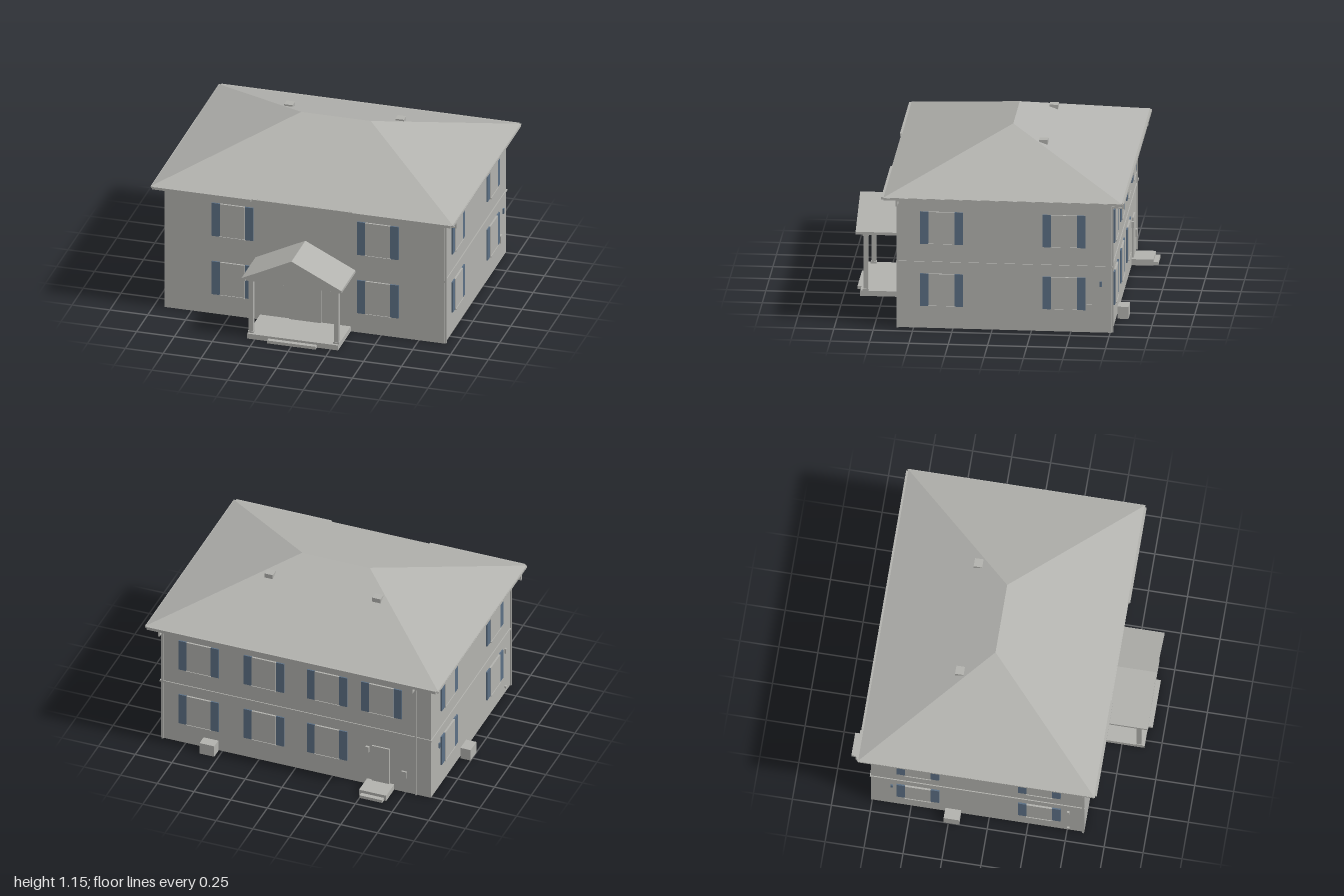
import * as THREE from 'three';

export function createModel() {
  const house = new THREE.Group();
  house.name = 'house';
  const grey = new THREE.MeshStandardMaterial({ color: 0xb2b2ae });
  grey.name = 'plain grey';
  grey.side = THREE.DoubleSide;
  const blue = new THREE.MeshStandardMaterial({ color: 0x5c7085 });
  blue.name = 'shutter blue';

  const add = (parent, name, geo, mat = grey) => {
    const m = new THREE.Mesh(geo, mat);
    m.name = name;
    parent.add(m);
    return m;
  };
  // box given by its limits on each axis
  const box = (parent, name, x0, x1, y0, y1, z0, z1, mat = grey) => {
    const m = add(parent, name, new THREE.BoxGeometry(x1 - x0, y1 - y0, z1 - z0), mat);
    m.position.set((x0 + x1) / 2, (y0 + y1) / 2, (z0 + z1) / 2);
    return m;
  };

  const W = 0.92, F = 0.61, B = -0.76, TOP = 0.87;

  // hollow walls, open below
  const rect = (p, x0, x1, z0, z1) => {
    p.moveTo(x0, -z0); p.lineTo(x1, -z0); p.lineTo(x1, -z1); p.lineTo(x0, -z1); p.closePath();
    return p;
  };
  const ring = rect(new THREE.Shape(), -W, W, B, F);
  ring.holes.push(rect(new THREE.Path(), -W + 0.012, W - 0.012, B + 0.012, F - 0.012));
  const wallGeo = new THREE.ExtrudeGeometry(ring, { depth: TOP, bevelEnabled: false });
  add(house, 'walls', wallGeo.rotateX(-Math.PI / 2));

  // hip roof with eave board
  box(house, 'eaveBoard', -0.995, 0.995, 0.868, 0.882, -0.832, 0.685);
  const c = [[-1, 0.88, 0.69], [1, 0.88, 0.69], [1, 0.88, -0.835], [-1, 0.88, -0.835],
    [-0.23, 1.153, -0.072], [0.23, 1.153, -0.072]];
  const faces = [0, 1, 5, 0, 5, 4, 1, 2, 5, 2, 3, 4, 2, 4, 5, 3, 0, 4];
  const roofGeo = new THREE.BufferGeometry();
  roofGeo.setAttribute('position', new THREE.Float32BufferAttribute(faces.flatMap(i => c[i]), 3));
  roofGeo.computeVertexNormals();
  add(house, 'hipRoof', roofGeo);

  // gutters and roof vents
  box(house, 'backGutter', -0.985, 0.985, 0.862, 0.882, -0.843, -0.83);
  for (const s of [-1, 1]) {
    const x = s * 0.66;
    box(house, 'frontGutter', x - 0.325, x + 0.325, 0.865, 0.882, 0.685, 0.7);
    box(house, 'sideGutter', s * 0.993 - 0.006, s * 0.993 + 0.006, 0.865, 0.882, -0.83, 0.685);
    box(house, 'roofVent', s * 0.367 - 0.028, s * 0.367 + 0.028, 1.05, 1.1, -0.305, -0.25);
  }

  // each wall is a group: x along the wall, z outwards
  const side = (name, x, z, turn) => {
    const g = new THREE.Group();
    g.name = name;
    g.position.set(x, 0, z);
    g.rotation.y = turn;
    house.add(g);
    return g;
  };
  const front = side('frontWallParts', 0, F, 0);
  const back = side('backWallParts', 0, B, Math.PI);
  const left = side('leftWallParts', W, 0, Math.PI / 2);
  const right = side('rightWallParts', -W, 0, -Math.PI / 2);

  // window with sill and two shutters
  const windowUnit = (g, u, y, h) => {
    box(g, 'window', u - 0.082, u + 0.082, y - h / 2, y + h / 2, -0.02, 0.012);
    box(g, 'windowSill', u - 0.084, u + 0.084, y - h / 2 - 0.004, y - h / 2 + 0.004, 0, 0.017);
    for (const s of [-1, 1]) {
      const v = u + s * 0.11;
      box(g, 'shutter', v - 0.027, v + 0.027, y - h / 2, y + h / 2, 0, 0.009, blue);
    }
  };
  for (const y of [0.255, 0.667]) {
    for (const s of [-1, 1]) windowUnit(front, s * 0.48, y, 0.232);
    for (const z of [0.322, -0.457]) {
      windowUnit(left, -z, y, 0.214);
      windowUnit(right, z, y, 0.214);
    }
    for (const x of [0.66, 0.215, -0.215]) windowUnit(back, -x, y, 0.22);
  }
  windowUnit(back, 0.585, 0.667, 0.22);

  // storey band on the sides and back
  box(back, 'storeyBand', -W - 0.006, W + 0.006, 0.43, 0.442, 0, 0.006);
  box(left, 'storeyBand', -F, -B, 0.43, 0.442, 0, 0.006);
  box(right, 'storeyBand', B, F, 0.43, 0.442, 0, 0.006);

  // downspouts with elbows reaching out to the gutter
  const downspout = (g, u) => {
    box(g, 'downspout', u - 0.006, u + 0.006, 0, 0.835, 0, 0.01);
    box(g, 'downspoutArm', u - 0.006, u + 0.006, 0.824, 0.834, 0, 0.075);
    box(g, 'downspoutDrop', u - 0.006, u + 0.006, 0.824, 0.87, 0.066, 0.076);
  };
  downspout(left, -0.602);
  downspout(right, 0.602);
  downspout(back, -0.905);
  downspout(back, 0.82);

  // small fittings on the walls
  box(front, 'signBoard', -0.24, 0.24, 0.78, 0.862, 0, 0.01);
  box(left, 'wallFitting', 0.683, 0.697, 0.305, 0.34, 0, 0.009, blue);
  box(left, 'meterBox', 0.6, 0.635, 0.135, 0.185, 0, 0.012);
  box(right, 'wallFitting', -0.632, -0.618, 0.3, 0.335, 0, 0.009, blue);
  box(right, 'wallFitting', 0.5, 0.515, 0.305, 0.34, 0, 0.012);
  box(right, 'wallFitting', 0.5, 0.515, 0.04, 0.055, 0, 0.012);
  box(right, 'coolingUnit', -0.28, -0.18, 0, 0.08, 0.01, 0.08);
  box(back, 'coolingUnit', -0.625, -0.525, 0, 0.08, 0.01, 0.08);

  // back door and steps
  box(back, 'backDoor', 0.52, 0.64, 0.04, 0.305, -0.02, 0.01);
  box(back, 'backLamp', 0.478, 0.502, 0.25, 0.29, 0, 0.015);
  box(back, 'meterBox', 0.722, 0.758, 0.11, 0.16, 0, 0.012);
  box(back, 'backLanding', 0.485, 0.67, 0, 0.04, 0, 0.138);
  box(back, 'backStep', 0.5, 0.655, 0, 0.02, 0.13, 0.168);

  // front door, lamps, porch floor and step
  box(front, 'frontDoor', -0.105, 0.105, 0.035, 0.357, -0.04, 0.01);
  box(front, 'porchFloor', -0.3, 0.3, 0, 0.035, 0, 0.285);
  box(front, 'porchStep', -0.16, 0.16, 0, 0.02, 0.27, 0.315);

  // porch columns with caps and bases
  for (const s of [-1, 1]) {
    box(front, 'frontLamp', s * 0.155 - 0.013, s * 0.155 + 0.013, 0.265, 0.308, 0, 0.018);
    const x = s * 0.282;
    box(front, 'porchColumn', x - 0.015, x + 0.015, 0.035, 0.415, 0.235, 0.265);
    box(front, 'columnCap', x - 0.021, x + 0.021, 0.4, 0.415, 0.229, 0.271);
    box(front, 'columnBase', x - 0.019, x + 0.019, 0.035, 0.047, 0.231, 0.269);
  }

  // gabled porch roof: recessed gable below an angled roof shell
  const prism = (name, pts, z0, z1) => {
    const shape = new THREE.Shape(pts.map(p => new THREE.Vector2(...p)));
    const geo = new THREE.ExtrudeGeometry(shape, { depth: z1 - z0, bevelEnabled: false });
    add(front, name, geo.translate(0, 0, z0));
  };
  prism('porchGable', [[-0.31, 0.417], [0.31, 0.417], [0.31, 0.43], [0, 0.585], [-0.31, 0.43]], -0.04, 0.3);
  prism('porchRoof', [[-0.33, 0.417], [-0.305, 0.417], [-0.305, 0.428], [0, 0.578], [0.305, 0.428],
    [0.305, 0.417], [0.33, 0.417], [0.33, 0.435], [0, 0.598], [-0.33, 0.435]], -0.002, 0.312);

  return house;
}
